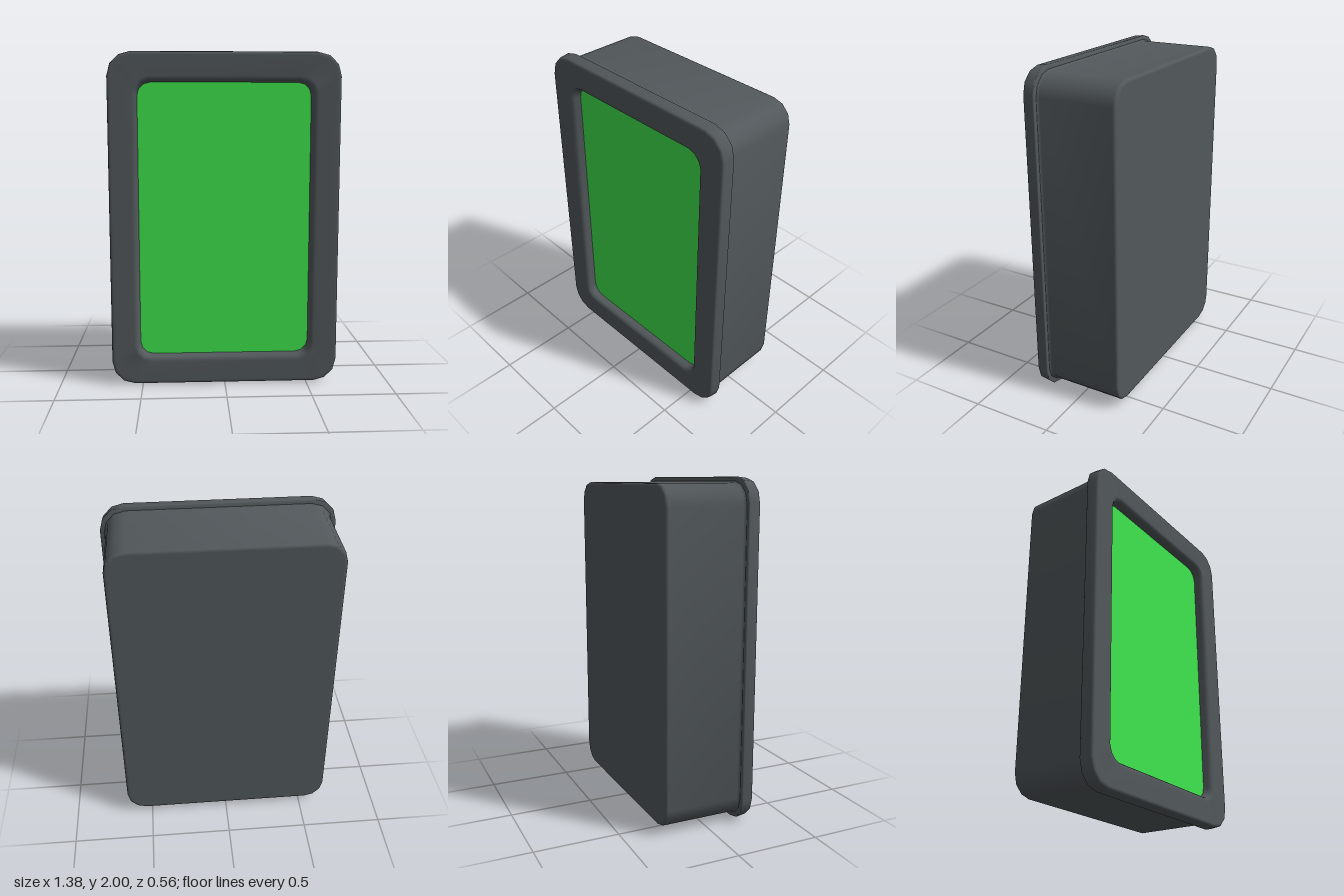
import * as THREE from 'three';
import { toCreasedNormals } from 'three/addons/utils/BufferGeometryUtils.js';

const CORNER_STEPS = 3;
const CENTRE_Y = 1;

// Rounded rectangle, counter-clockwise seen from the front; lift raises the corner arcs
function ring([w, h, r, z, lift = 0]) {
  const points = [];
  const corners = [[1, 1], [-1, 1], [-1, -1], [1, -1]];
  corners.forEach(([sx, sy], c) => {
    for (let i = 0; i <= CORNER_STEPS; i++) {
      const t = i / CORNER_STEPS;
      const a = (c + t) * Math.PI / 2;
      points.push(new THREE.Vector3(
        sx * (w - r) + r * Math.cos(a),
        CENTRE_Y + sy * (h - r) + r * Math.sin(a),
        z + lift * Math.sin(t * Math.PI)));
    }
  });
  return points;
}

// Skin a series of [halfWidth, halfHeight, cornerRadius, z, lift] sections
function loft(sections) {
  const rings = sections.map(ring);
  const positions = [];
  const tri = (a, b, c) => {
    if (a.distanceTo(b) < 1e-6 || b.distanceTo(c) < 1e-6 || c.distanceTo(a) < 1e-6) return;
    for (const p of [a, b, c]) positions.push(p.x, p.y, p.z);
  };
  for (let k = 0; k < rings.length - 1; k++) {
    const lower = rings[k], upper = rings[k + 1], n = lower.length;
    for (let j = 0; j < n; j++) {
      const m = (j + 1) % n;
      tri(lower[j], lower[m], upper[m]);
      tri(lower[j], upper[m], upper[j]);
    }
  }
  const geometry = new THREE.BufferGeometry();
  geometry.setAttribute('position', new THREE.Float32BufferAttribute(positions, 3));
  // Creasing merges points coarsely, so it is done at a larger scale
  geometry.scale(100, 100, 100);
  return toCreasedNormals(geometry, 0.85).scale(0.01, 0.01, 0.01);
}

export function createModel() {
  const casing = new THREE.MeshStandardMaterial({ name: 'dark grey casing', color: 0x52585b });
  const green = new THREE.MeshStandardMaterial({ name: 'green screen', color: 0x3fe64d });
  const model = new THREE.Group();
  model.name = 'framedPanel';
  const add = (name, sections, material) => {
    const mesh = new THREE.Mesh(loft(sections), material);
    mesh.name = name;
    model.add(mesh);
  };

  // Deep box with softened back edge and a small flare under the frame
  add('housing', [
    [0, 0, 0, -0.278],
    [0.638, 0.947, 0.103, -0.278],
    [0.644, 0.953, 0.108, -0.278],
    [0.654, 0.963, 0.118, -0.274],
    [0.658, 0.967, 0.122, -0.264],
    [0.658, 0.967, 0.122, -0.258],
    [0.658, 0.967, 0.122, 0.185],
    [0.66, 0.969, 0.124, 0.193],
    [0.667, 0.976, 0.13, 0.2],
  ], casing);

  // Overhanging frame that rolls inward to the recessed opening
  add('frame', [
    [0.655, 0.964, 0.12, 0.2],
    [0.687, 0.997, 0.14, 0.2],
    [0.69, 1, 0.142, 0.203],
    [0.69, 1, 0.142, 0.208],
    [0.684, 0.994, 0.138, 0.262],
    [0.682, 0.992, 0.136, 0.269],
    [0.676, 0.986, 0.131, 0.275],
    [0.668, 0.978, 0.125, 0.276],
    [0.66, 0.97, 0.12, 0.276],
    [0.55, 0.858, 0.1, 0.276],
    [0.541, 0.849, 0.093, 0.275, 0.003],
    [0.529, 0.837, 0.085, 0.271, 0.003],
    [0.521, 0.829, 0.081, 0.26],
    [0.518, 0.826, 0.08, 0.25],
    [0.513, 0.821, 0.078, 0.216],
  ], casing);

  // Flat green face at the bottom of the recess
  add('screen', [
    [0.514, 0.822, 0.078, 0.218],
    [0, 0, 0, 0.218],
  ], green);

  return model;
}
